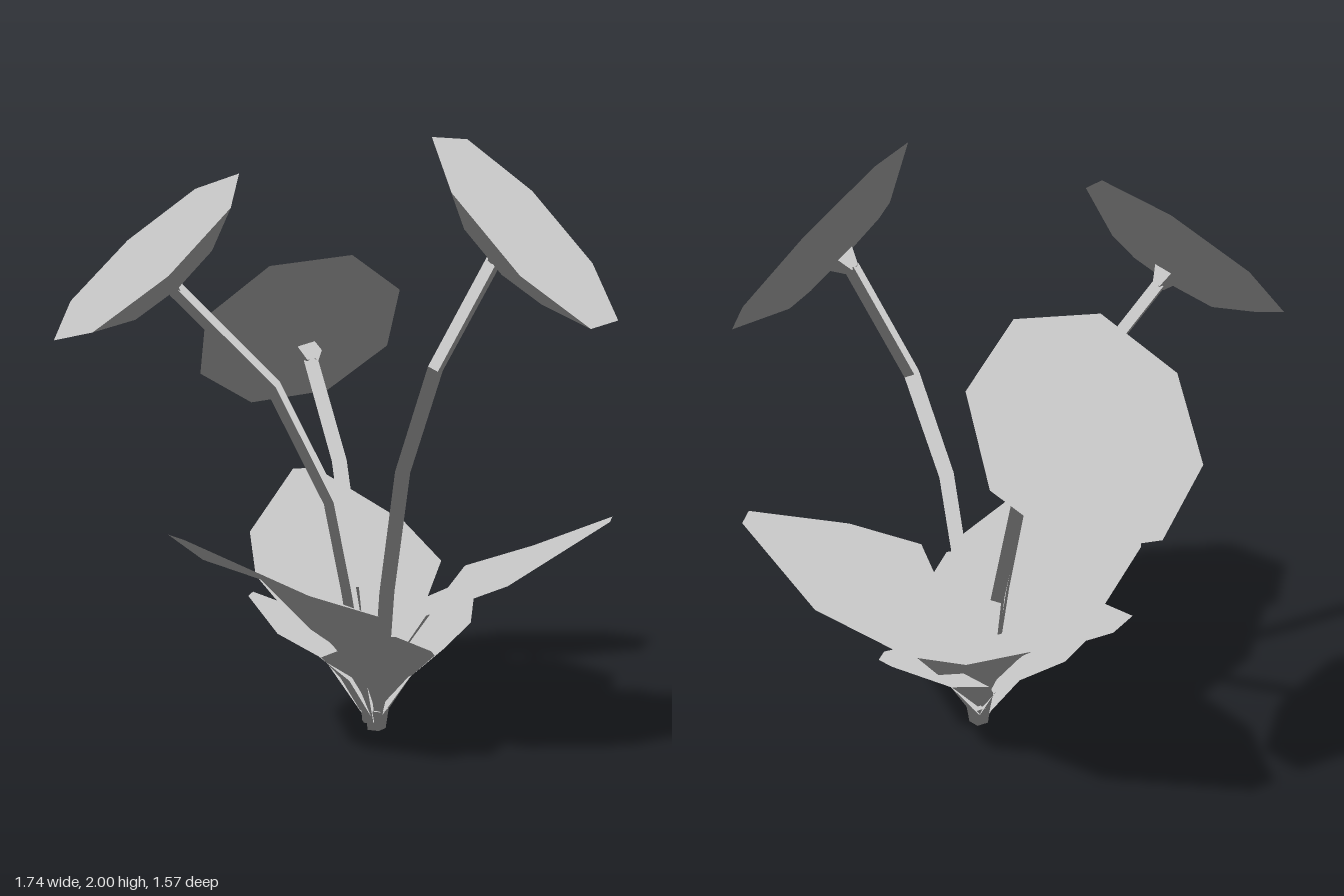
import * as THREE from 'three';

const grey = new THREE.MeshStandardMaterial({ color: 0xcccccc, side: THREE.DoubleSide });
grey.name = 'plain grey';

const vec = (a) => new THREE.Vector3(...a);
const BASE = vec([0.18, 0, 0]);

// Foliage mesh: every normal points straight up, so the plant is shaded evenly
function foliage(name, geometry) {
  const up = Array.from({ length: geometry.attributes.position.count }, () => [0, 1, 0]).flat();
  geometry.setAttribute('normal', new THREE.Float32BufferAttribute(up, 3));
  const mesh = new THREE.Mesh(geometry, grey);
  mesh.name = name;
  return mesh;
}

// Skin a list of equal-length cross-sections
function loft(name, sections, closed) {
  const n = sections[0].length, idx = [];
  for (let i = 0; i < sections.length - 1; i++) {
    for (let j = 0; j < (closed ? n : n - 1); j++) {
      const a = i * n + j, b = i * n + (j + 1) % n;
      idx.push(a, b, b + n, a, b + n, a + n);
    }
  }
  const g = new THREE.BufferGeometry().setFromPoints(sections.flat());
  g.setIndex(idx);
  return foliage(name, g);
}

// Ring of points around c, spanned by two perpendicular radii
const ring = (c, u, v, sides) => Array.from({ length: sides }, (_, k) => {
  const a = k / sides * Math.PI * 2;
  return c.clone().addScaledVector(u, Math.cos(a)).addScaledVector(v, Math.sin(a));
});

// Leaf: rows of [reach, height, half width] along a heading in the ground plane
function leaf(name, dx, dz, rows) {
  const d = vec([dx, 0, dz]).normalize();
  const side = vec([-d.z, 0, d.x]);
  return loft(name, rows.map(([r, y, w]) => [-w, w].map((s) =>
    BASE.clone().addScaledVector(d, r).addScaledVector(side, s).setY(y))), false);
}

// Saucer: rows of [scale, depth] below the rim
function saucer(name, c, u, v, n, rows, sides) {
  return loft(name, rows.map(([s, depth]) => ring(c.clone().addScaledVector(n, -depth),
    u.clone().multiplyScalar(s), v.clone().multiplyScalar(s), sides)), true);
}

// Four-sided stem with straight runs between its bends
function stem(pts) {
  const last = pts.length - 1;
  return loft('stem', pts.map((p, i) => {
    const t = pts[Math.min(i + 1, last)].clone().sub(pts[Math.max(i - 1, 0)]).normalize();
    const a = vec([0, 0, 1]).cross(t).setLength(0.027);
    return ring(p, a, t.clone().cross(a), 4);
  }), true);
}

function flower(name, center, rimU, rimV, path) {
  const group = new THREE.Group();
  group.name = name;
  const c = vec(center), u = vec(rimU), v = vec(rimV);
  const n = u.clone().cross(v).normalize();
  if (n.y < 0) { n.negate(); v.negate(); }
  group.add(
    saucer('flowerHead', c, u, v, n, [[1, 0], [0.57, 0.088], [0, 0.1]], 8),
    saucer('calyx', c, u, v, n, [[0.14, 0.098], [0.06, 0.15], [0, 0.155]], 5),
    stem([...path.map(vec), c.clone().addScaledVector(n, -0.14)]),
  );
  return group;
}

export function createModel() {
  const model = new THREE.Group();
  model.name = 'floweringPlant';

  // Three flowers on bent stems
  model.add(
    flower('rightFlower', [-0.5875, 1.63, -0.015], [0.2925, 0.26, 0.045], [0.02, 0.04, -0.395],
      [[0.165, 0.03, 0.01], [0.08, 0.5, 0.02], [0.02, 0.81, 0.01], [-0.17, 1.2, -0.02]]),
    flower('leftFlower', [0.515, 1.715, 0.435], [-0.34, 0.115, 0.205], [-0.08, 0.285, -0.285],
      [[0.19, 0.01, 0.01], [0.195, 0.5, 0.08], [0.225, 0.92, 0.14], [0.3, 1.27, 0.23]]),
    flower('backFlower', [0.085, 1.33, -0.54], [0.115, 0.285, 0.245], [0.375, -0.07, -0.095],
      [[0.165, 0.03, 0], [0.125, 0.5, -0.03], [0.1, 0.92, -0.14]]),
  );

  // Large leaves
  const large = [[0, 0.05, 0.04], [0.1, 0.28, 0.18], [0.25, 0.51, 0.35], [0.5, 0.61, 0.3], [0.79, 0.78, 0.045]];
  [[0, -1], [0.83, 0.55], [-0.95, 0.32]].forEach(([x, z], i) =>
    model.add(leaf('largeLeaf' + (i + 1), x, z, large)));

  // Small leaves between them
  const small = [[0, 0.05, 0.04], [0.06, 0.2, 0.12], [0.15, 0.3, 0.19], [0.3, 0.36, 0.16], [0.44, 0.45, 0.03]];
  [[-0.12, 0.44], [0.41, -0.14], [-0.37, -0.23]].forEach(([x, z], i) =>
    model.add(leaf('smallLeaf' + (i + 1), x, z, small)));

  // Root stub
  const root = foliage('rootStub', new THREE.CylinderGeometry(0.045, 0.035, 0.07, 5));
  root.position.set(0.185, 0.035, 0.005);
  model.add(root);
  return model;
}
